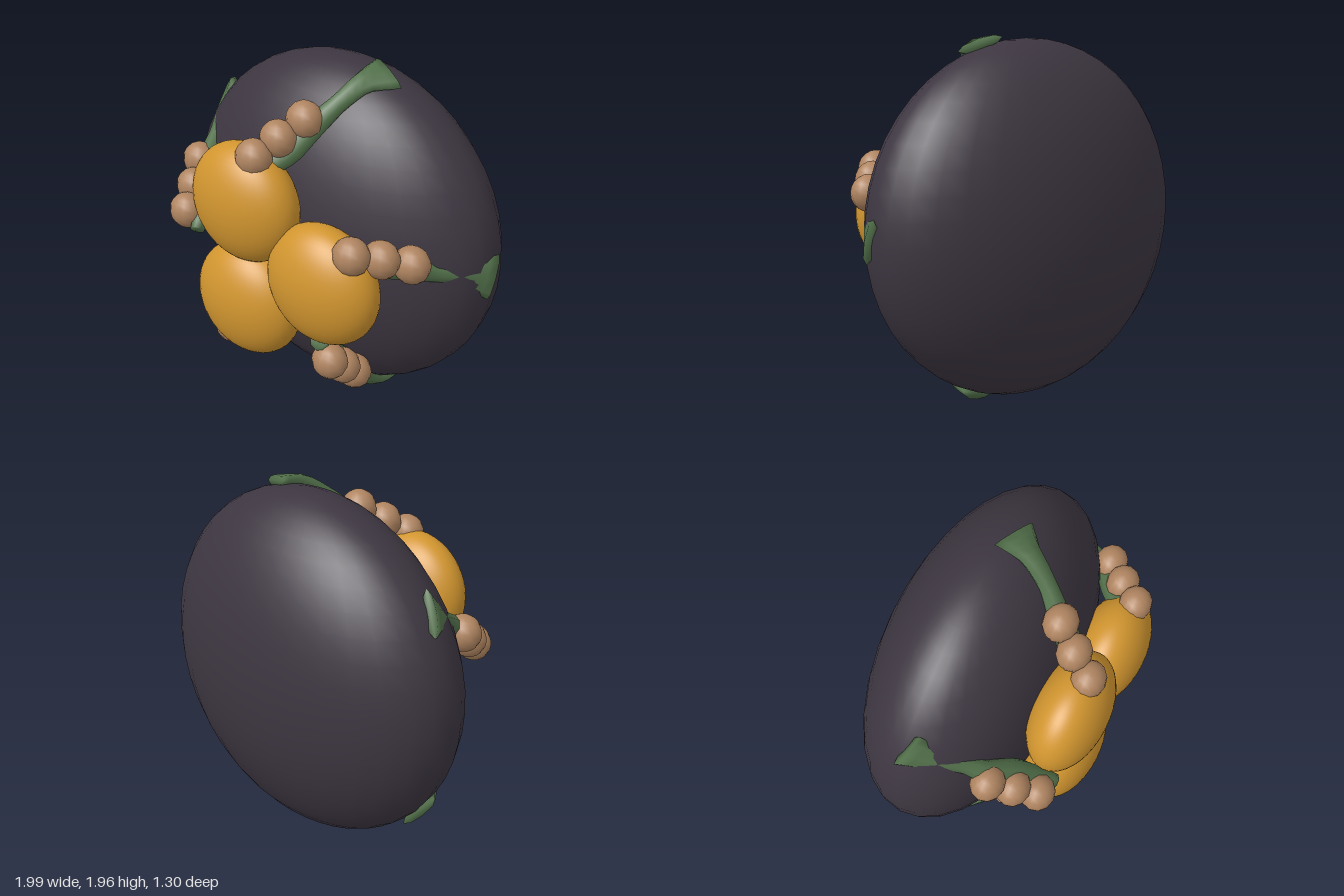
import * as THREE from 'three';

const CX = -0.02, CY = 0.97, CZ = -0.145;

const makeMat = (name, color, side = THREE.FrontSide) => {
  const m = new THREE.MeshStandardMaterial({ color, side });
  m.name = name;
  return m;
};

// Point given by radius and angle (degrees) about the body's axis
const polar = (r, deg, z) => {
  const a = THREE.MathUtils.degToRad(deg);
  return new THREE.Vector3(CX + r * Math.cos(a), CY + r * Math.sin(a), z);
};

// Flattened tube swept along stations [radius, angle, z, halfWidth, halfThickness]
function vineGeometry(stations, turn, dip) {
  const curve = new THREE.CatmullRomCurve3(stations.map(([r, a, z], i) =>
    polar(i === 1 || i === 2 ? r * dip : r, a + turn, z)));
  const steps = 20, sides = 8, pos = [], idx = [];
  for (let i = 0; i <= steps; i++) {
    const u = i / steps, p = curve.getPoint(u), tangent = curve.getTangent(u);
    const f = u * (stations.length - 1), k = Math.min(Math.floor(f), stations.length - 2);
    const w = THREE.MathUtils.lerp(stations[k][3], stations[k + 1][3], f - k);
    const t = THREE.MathUtils.lerp(stations[k][4], stations[k + 1][4], f - k);
    const out = new THREE.Vector3((p.x - CX) / 0.96, (p.y - CY) / 0.96, (p.z - CZ) / 0.26).normalize();
    const side = new THREE.Vector3().crossVectors(out, tangent).normalize();
    const up = new THREE.Vector3().crossVectors(tangent, side);
    for (let j = 0; j < sides; j++) {
      const a = (j / sides) * Math.PI * 2;
      const q = p.clone().addScaledVector(side, w * Math.cos(a)).addScaledVector(up, t * Math.sin(a));
      pos.push(q.x, q.y, q.z);
      if (i < steps) {
        const b = i * sides + j, c = i * sides + (j + 1) % sides;
        idx.push(b, c, b + sides, c, c + sides, b + sides);
      }
    }
  }
  // end caps
  for (let j = 1; j < sides - 1; j++) {
    const e = steps * sides;
    idx.push(0, j + 1, j, e, e + j, e + j + 1);
  }
  const g = new THREE.BufferGeometry();
  g.setAttribute('position', new THREE.Float32BufferAttribute(pos, 3));
  g.setIndex(idx);
  g.computeVertexNormals();
  return g;
}

export function createModel() {
  const model = new THREE.Group();
  const dark = makeMat('dark plum', 0x3d3641);
  const amber = makeMat('amber', 0xd1952f);
  const tan = makeMat('tan', 0xaf8460);
  const green = makeMat('moss green', 0x52704a, THREE.DoubleSide);

  const ellipsoid = (name, mat, p, rx, ry, rz, w, h, parent) => {
    const m = new THREE.Mesh(new THREE.SphereGeometry(1, w, h), mat);
    m.name = name;
    m.position.copy(p);
    m.scale.set(rx, ry, rz);
    parent.add(m);
  };

  // Flattened main body
  ellipsoid('body', dark, new THREE.Vector3(CX, CY, CZ), 0.98, 0.965, 0.51, 32, 24, model);

  // Three domes clustered on the front
  for (let i = 0; i < 3; i++)
    ellipsoid('dome', amber, polar(0.342, i * 120, 0.452), 0.332, 0.332, 0.197, 40, 28, model);

  // Five vines, each carrying three beads
  const stations = [
    [0.985, 72.5, -0.13, 0.125, 0.03],
    [0.945, 75.5, 0.0, 0.065, 0.04],
    [0.85, 78, 0.115, 0.05, 0.045],
    [0.73, 82, 0.22, 0.065, 0.055],
    [0.61, 87, 0.33, 0.075, 0.06],
    [0.53, 95, 0.43, 0.06, 0.05],
    [0.48, 103, 0.52, 0.045, 0.04],
  ];
  const beads = [[0.758, 85.2, 0.25], [0.672, 91, 0.365], [0.597, 97.3, 0.48]];
  const dips = [1, 0.94, 1, 1, 0.94];
  dips.forEach((dip, i) => {
    const arm = new THREE.Group();
    arm.name = 'beadedVine';
    const turn = -72 * i;
    const vine = new THREE.Mesh(vineGeometry(stations, turn, dip), green);
    vine.name = 'vine';
    arm.add(vine);
    for (const [r, a, z] of beads)
      ellipsoid('bead', tan, polar(r, a + turn, z), 0.1, 0.1, 0.09, 12, 10, arm);
    model.add(arm);
  });

  return model;
}
